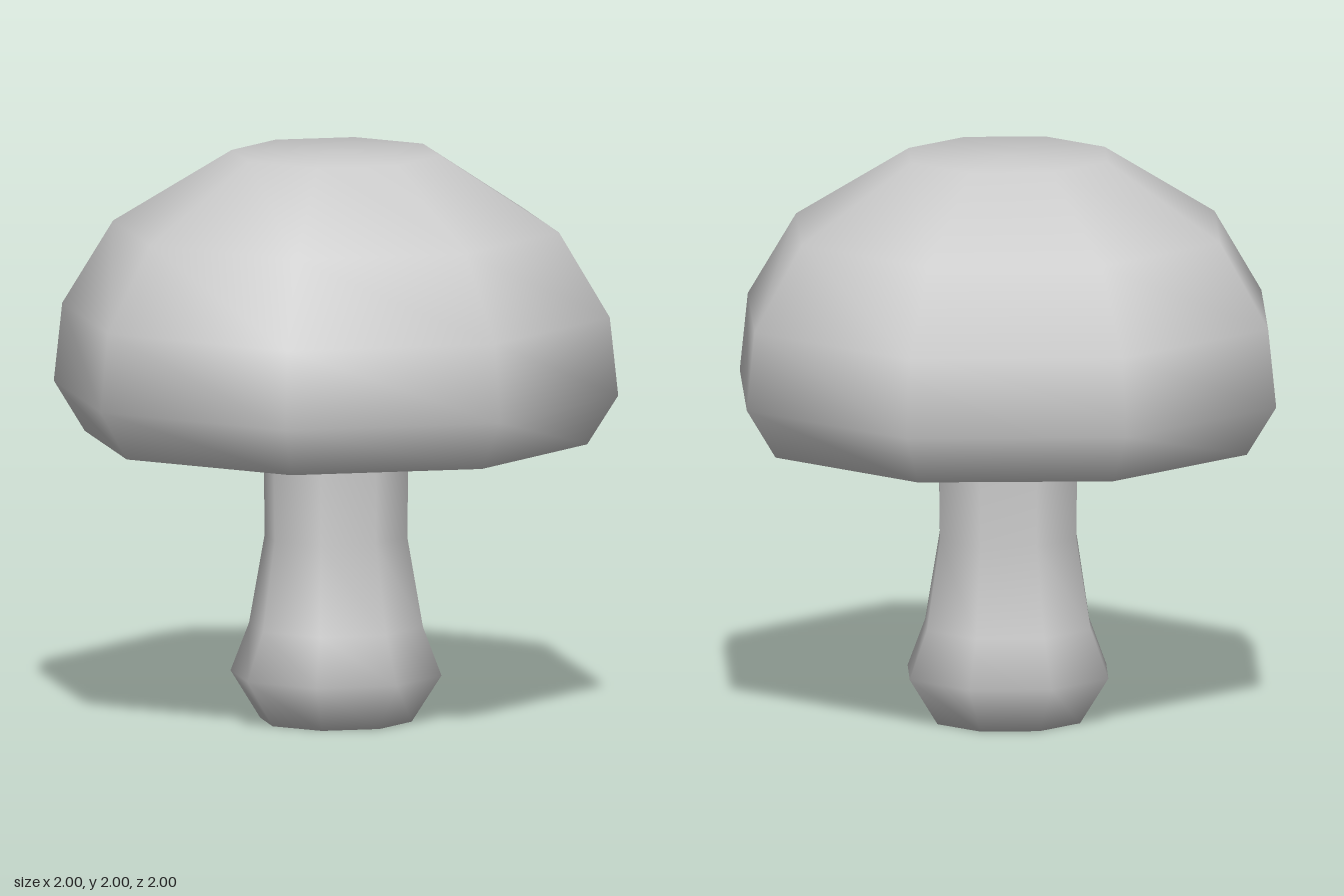
import * as THREE from 'three';

const material = new THREE.MeshStandardMaterial({ color: 0xcccccc });

// Smooth-shaded eight-sided turned part, profile given as [radius, height]
function turned(name, profile) {
  const points = profile.map(([r, y]) => new THREE.Vector2(r, y));
  const mesh = new THREE.Mesh(new THREE.LatheGeometry(points, 8), material);
  mesh.name = name;
  return mesh;
}

export function createModel() {
  const group = new THREE.Group();
  group.name = 'mushroom';

  // Cap: conical hollow underneath, narrow rounded lip, then up over the dome
  group.add(turned('cap', [
    [0, 1.42], [0.82, 0.985], [0.89, 0.995],
    [1, 1.17], [0.97, 1.445], [0.79, 1.74], [0.37, 2], [0, 2],
  ]));

  // Stem with a bulging foot, reaching up to the hollow of the cap
  const stem = turned('stem', [
    [0, 0], [0.27, 0], [0.376, 0.165], [0.31, 0.335], [0.26, 0.65], [0.265, 1], [0.265, 1.3],
  ]);
  // The shaft is slightly flattened in depth, the foot stays almost round
  const position = stem.geometry.attributes.position;
  for (let i = 0; i < position.count; i++) {
    const depth = position.getY(i) > 0.5 ? 0.93 : 0.985;
    position.setZ(i, position.getZ(i) * depth);
  }
  group.add(stem);

  return group;
}
